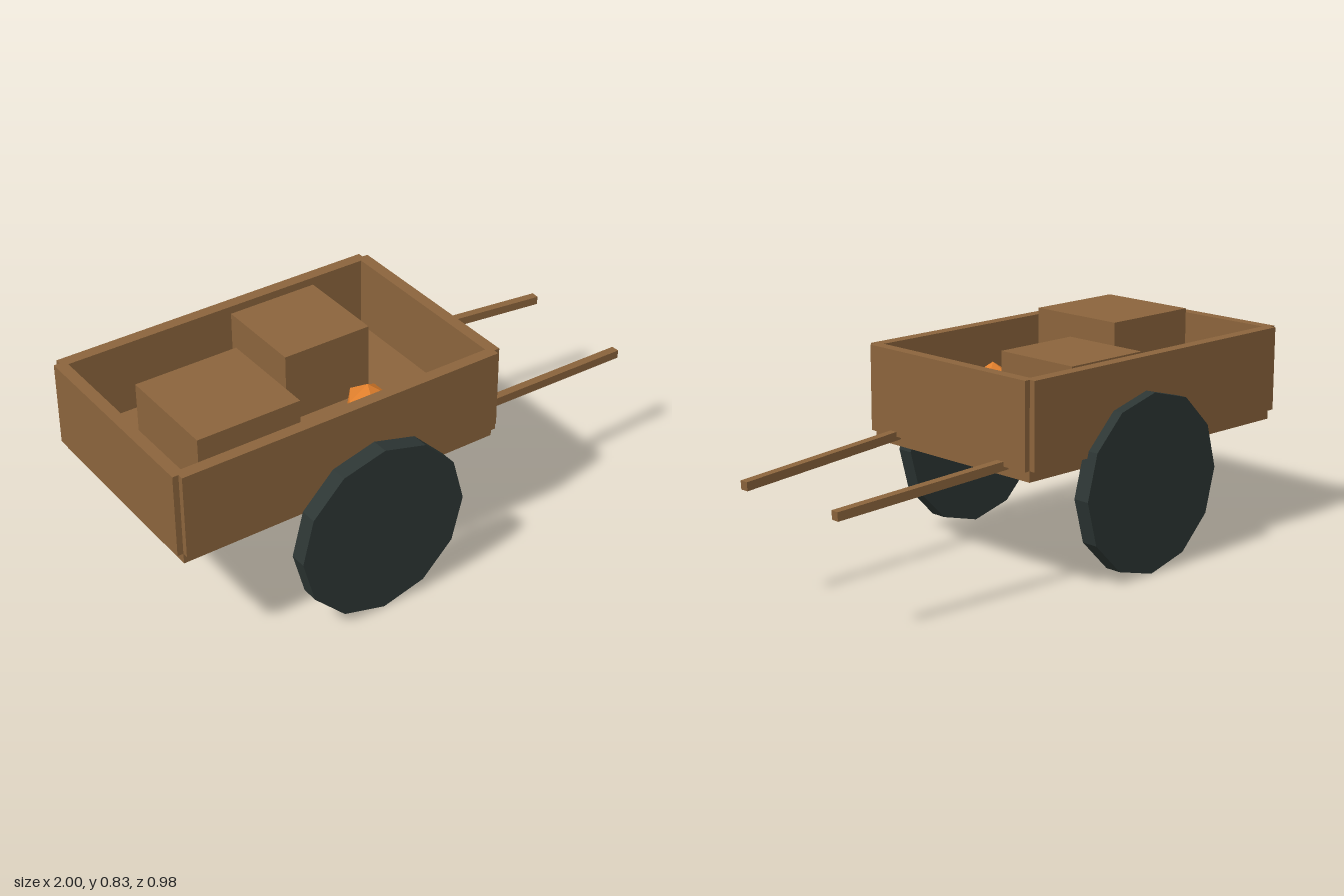
import * as THREE from 'three';

export function createModel() {
  const cart = new THREE.Group();
  cart.name = 'handcart';

  const material = (name, color) => {
    const m = new THREE.MeshStandardMaterial({ color });
    m.name = name;
    return m;
  };
  const wood = material('wood', 0x8b643c);
  const tyre = material('dark wheel', 0x2d3634);
  const orange = material('orange', 0xe07f2c);
  wood.flatShading = tyre.flatShading = orange.flatShading = true;

  const add = (name, geometry, mat) => {
    const mesh = new THREE.Mesh(geometry, mat);
    mesh.name = name;
    cart.add(mesh);
    return mesh;
  };
  // Box given by its lower and upper limits on each axis
  const box = (name, [x0, x1], [y0, y1], [z0, z1]) =>
    add(name, new THREE.BoxGeometry(x1 - x0, y1 - y0, z1 - z0), wood)
      .position.set((x0 + x1) / 2, (y0 + y1) / 2, (z0 + z1) / 2);

  // Cart bed and its four walls, with notched corners
  const bedX = [-0.978, 0.284], bedZ = [-0.426, 0.363], wallY = [0.475, 0.79];
  box('floor', bedX, [0.435, 0.515], bedZ);
  box('frontWall', bedX, wallY, [0.34, 0.385]);
  box('backWall', bedX, wallY, [-0.449, -0.404]);
  box('rightWall', [-1, -0.956], wallY, bedZ);
  box('leftWall', [0.262, 0.306], wallY, bedZ);

  // Cargo
  box('largeCrate', [-0.86, -0.465], [0.435, 0.83], [-0.11, 0.285]);
  box('smallCrate', [-0.325, 0.025], [0.435, 0.785], [-0.37, -0.02]);
  const fruit = add('roundFruit', new THREE.IcosahedronGeometry(0.085), orange);
  fruit.rotation.z = Math.atan(2 / (1 + Math.sqrt(5)));
  fruit.position.set(-0.11, 0.61, 0.165);

  // Twelve-sided solid wheels
  for (const side of [1, -1]) {
    const wheel = add('wheel', new THREE.CylinderGeometry(0.333, 0.333, 0.064, 12), tyre);
    wheel.rotation.x = Math.PI / 2;
    wheel.position.set(-0.267, 0.333, side * 0.458);
  }

  // Square handles sloping down and converging slightly
  for (const side of [1, -1]) {
    const start = new THREE.Vector3(0.28, 0.478, -0.032 + side * 0.277);
    const end = new THREE.Vector3(0.999, 0.436, -0.032 + side * 0.238);
    const handle = add('handle', new THREE.BoxGeometry(0.032, 0.032, start.distanceTo(end)), wood);
    handle.position.copy(start).add(end).multiplyScalar(0.5);
    handle.lookAt(end);
  }

  return cart;
}
